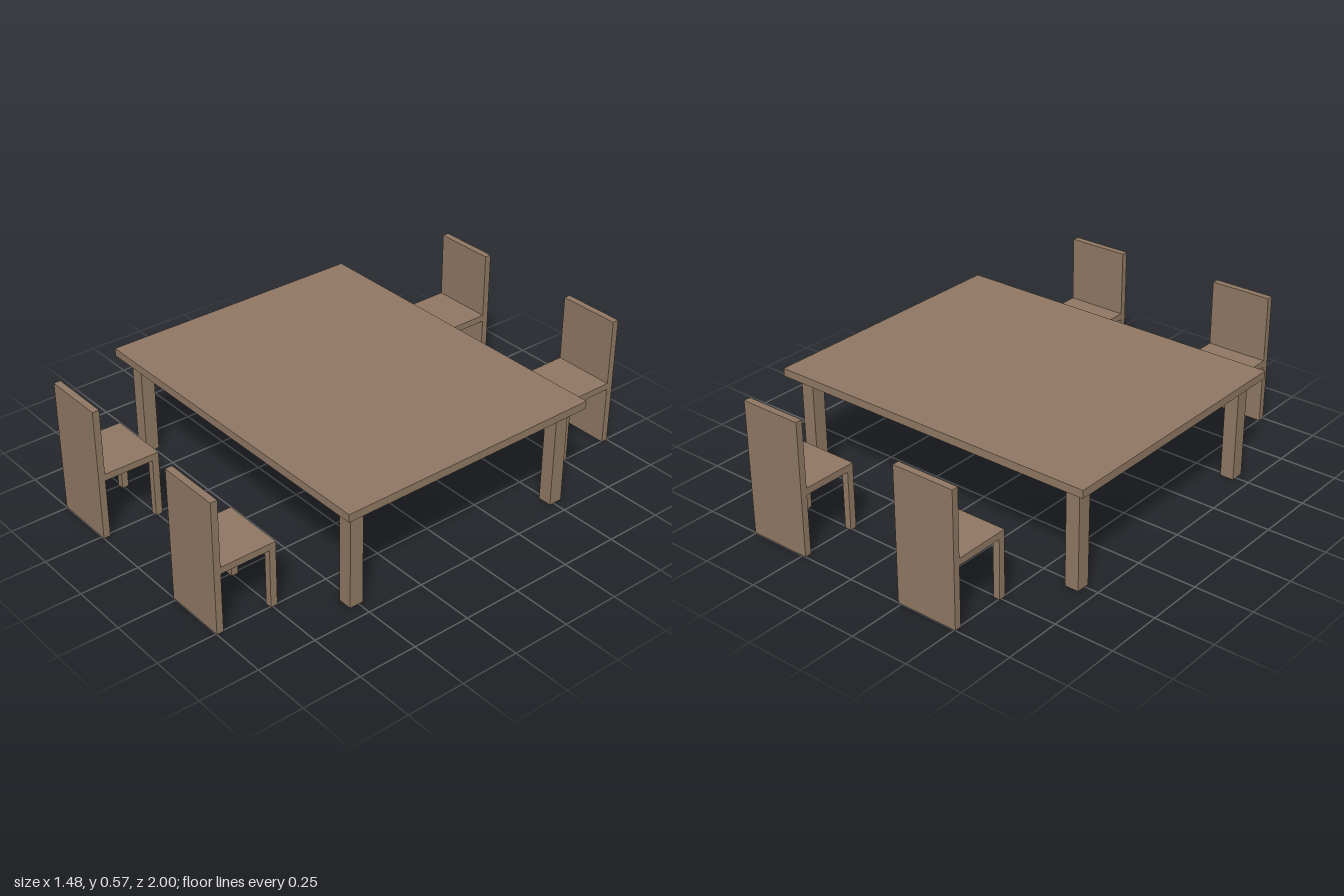
import * as THREE from 'three';

const wood = new THREE.MeshStandardMaterial({ color: 0x8f7863 });

// Box given by its size, its centre in x and z, and its underside in y
function addBox(parent, name, [w, h, d], [x, bottom, z]) {
  const mesh = new THREE.Mesh(new THREE.BoxGeometry(w, h, d), wood);
  mesh.name = name;
  mesh.position.set(x, bottom + h / 2, z);
  parent.add(mesh);
}

function createTable() {
  const table = new THREE.Group();
  table.name = 'table';
  addBox(table, 'tableTop', [1.478, 0.034, 1.172], [0, 0.43, 0]);
  for (const sx of [-1, 1]) {
    for (const sz of [-1, 1]) {
      addBox(table, 'tableLeg', [0.06, 0.43, 0.06], [sx * 0.66, 0, sz * 0.51]);
    }
  }
  return table;
}

// Chair with its backrest towards +z, centred on its square footprint
function createChair() {
  const chair = new THREE.Group();
  chair.name = 'chair';
  const size = 0.27, t = 0.029, seatTop = 0.285;
  const edge = (size - t) / 2;
  addBox(chair, 'backPanel', [size, 0.57, t], [0, 0, edge]);
  addBox(chair, 'seat', [size, t, size - t], [0, seatTop - t, -t / 2]);
  for (const sx of [-1, 1]) {
    addBox(chair, 'chairLeg', [t, seatTop - t, t], [sx * edge, 0, -edge]);
  }
  return chair;
}

export function createModel() {
  const model = new THREE.Group();
  model.name = 'diningSet';
  model.add(createTable());

  // Two chairs on each long side, facing the table
  for (const sx of [-1, 1]) {
    for (const sz of [-1, 1]) {
      const chair = createChair();
      chair.position.set(sx * 0.37, 0, sz * 0.865);
      chair.rotation.y = sz > 0 ? 0 : Math.PI;
      model.add(chair);
    }
  }
  return model;
}
